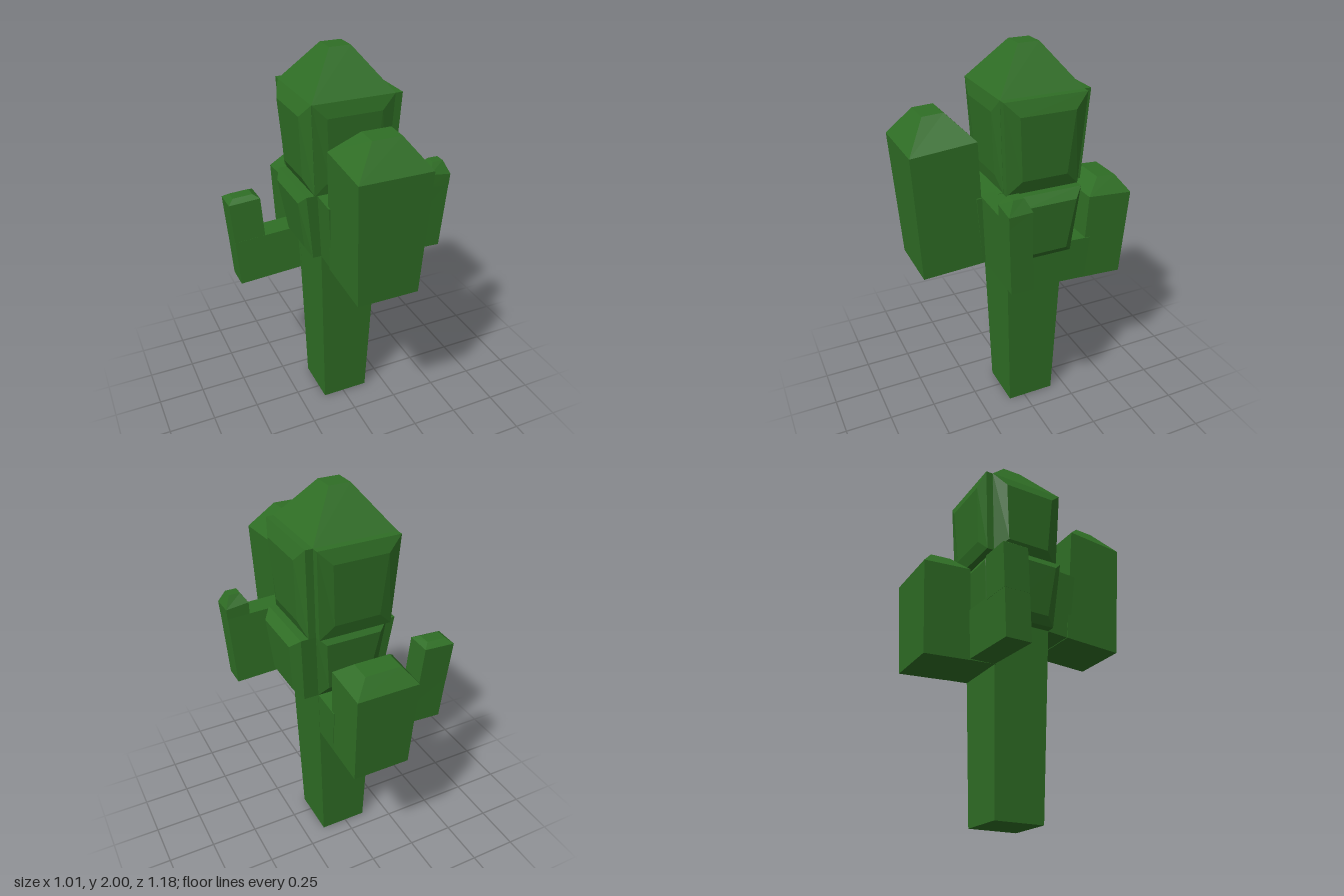
import * as THREE from 'three';

const green = new THREE.MeshStandardMaterial({ color: 0x2f6e25 });
green.name = 'cactus green';

// Horizontal four-cornered ring; dx and dz tilt it along x and z.
function ring(x0, x1, z0, z1, y, dx = 0, dz = 0) {
  return [[x0, y + dz, z1], [x1, y + dx + dz, z1], [x1, y + dx, z0], [x0, y, z0]];
}

// Closed, sharp-edged solid through a stack of four-cornered rings.
function loft(name, rings) {
  const index = [];
  const top = (rings.length - 1) * 4;
  for (let r = 0; r < top; r += 4) {
    for (let i = 0; i < 4; i++) {
      const a = r + i, b = r + (i + 1) % 4;
      index.push(a, b, b + 4, a, b + 4, a + 4);
    }
  }
  index.push(0, 2, 1, 0, 3, 2, top, top + 1, top + 2, top, top + 2, top + 3);
  const indexed = new THREE.BufferGeometry();
  indexed.setAttribute('position', new THREE.Float32BufferAttribute(rings.flat(2), 3));
  indexed.setIndex(index);
  const geometry = indexed.toNonIndexed();
  geometry.computeVertexNormals();
  const mesh = new THREE.Mesh(geometry, green);
  mesh.name = name;
  return mesh;
}

// Each side gives a face's range across, its outward distance, and the way back to x, y, z.
const sides = {
  front: { face: (s) => [s.x0, s.x1, s.z1], place: (u, y, d) => [u, y, d] },
  left: { face: (s) => [-s.z1, -s.z0, s.x1], place: (u, y, d) => [d, y, -u] },
  back: { face: (s) => [-s.x1, -s.x0, -s.z0], place: (u, y, d) => [-u, y, -d] },
  right: { face: (s) => [s.z0, s.z1, -s.x0], place: (u, y, d) => [-d, y, u] },
};

// Raised panel on one side: straight out by "out", then bevelled to "peak".
function panel(side, low, high, out, peak, inset) {
  const { face, place } = sides[side];
  const [a0, a1, da] = face(low), [b0, b1, db] = face(high);
  const layer = (d, n) => [
    place(a0 + n, low.y + n, da + d), place(a1 - n, low.y + n, da + d),
    place(b1 - n, high.y - n, db + d), place(b0 + n, high.y - n, db + d),
  ];
  return loft(side + 'Panel', [layer(-0.01, 0), layer(out, 0), layer(peak, inset)]);
}

const sectionRing = (s) => ring(s.x0, s.x1, s.z0, s.z1, s.y);

function group(name, ...parts) {
  const g = new THREE.Group();
  g.name = name;
  g.add(...parts);
  return g;
}

export function createModel() {
  // Trunk sections, each flaring slightly upward
  const foot = { x0: -0.115, x1: 0.14, z0: -0.17, z1: 0.09, y: 0 };
  const waist = { x0: -0.14, x1: 0.175, z0: -0.195, z1: 0.12, y: 0.98 };
  const chest = { x0: -0.18, x1: 0.2, z0: -0.228, z1: 0.148, y: 1.34 };
  const neck = { x0: -0.2, x1: 0.22, z0: -0.253, z1: 0.17, y: 1.8 };

  const trunk = group('trunk',
    loft('stem', [foot, waist, chest, neck].map(sectionRing)),
    loft('crown', [sectionRing(neck), ring(-0.043, 0.065, -0.097, 0.011, 2)]),
  );

  const middle = group('middlePanels',
    panel('left', waist, chest, 0.077, 0.118, 0.045),
    panel('right', waist, chest, 0.045, 0.072, 0.045),
    panel('back', waist, chest, 0.001, 0.027, 0.045),
  );

  const upper = group('upperPanels',
    panel('left', chest, neck, 0.038, 0.064, 0.07),
    panel('right', chest, neck, 0.002, 0.037, 0.07),
    panel('back', chest, neck, 0.037, 0.056, 0.07),
    panel('front', chest, neck, 0.001, 0.014, 0.07),
  );

  // Large front arm
  const frontArm = group('frontArm',
    loft('frontElbow', [
      ring(-0.14, 0.172, 0.1, 0.25, 0.98, 0, -0.01),
      ring(-0.168, 0.192, 0.12, 0.28, 1.34, 0, -0.01),
    ]),
    loft('frontUpright', [
      ring(-0.145, 0.172, 0.235, 0.555, 0.968, 0, -0.018),
      ring(-0.17, 0.195, 0.27, 0.59, 1.615, 0, -0.028),
      ring(-0.06, 0.085, 0.385, 0.488, 1.735, 0, -0.005),
    ]),
  );

  // Small arm branching to the left from the front elbow
  const leftArm = group('leftArm',
    loft('leftElbow', [
      ring(0.14, 0.478, 0.122, 0.235, 0.975, -0.015),
      ring(0.16, 0.498, 0.14, 0.254, 1.337, -0.012),
    ]),
    loft('leftTip', [
      ring(0.383, 0.498, 0.14, 0.254, 1.32, -0.01),
      ring(0.385, 0.502, 0.14, 0.256, 1.392, -0.015, -0.005),
      ring(0.415, 0.472, 0.17, 0.223, 1.438),
    ]),
  );

  // Back arm
  const backArm = group('backArm',
    loft('backElbow', [
      ring(-0.135, 0.165, -0.34, -0.17, 0.727, 0, 0.008),
      ring(-0.14, 0.174, -0.36, -0.18, 0.972, 0, 0.008),
    ]),
    loft('backUpright', [
      ring(-0.135, 0.165, -0.56, -0.32, 0.713, 0, 0.014),
      ring(-0.15, 0.175, -0.59, -0.343, 1.19, 0, 0.018),
      ring(-0.082, 0.105, -0.53, -0.425, 1.273, 0, 0.006),
    ]),
  );

  // Small arm branching to the right from the back elbow
  const rightArm = group('rightArm',
    loft('rightElbow', [
      ring(-0.48, -0.12, -0.322, -0.19, 0.713, 0.022),
      ring(-0.493, -0.13, -0.338, -0.206, 0.963, 0.02),
    ]),
    loft('rightUpright', [
      ring(-0.493, -0.325, -0.338, -0.206, 0.95, 0.01),
      ring(-0.506, -0.337, -0.354, -0.222, 1.175, 0.01, 0.003),
      ring(-0.475, -0.368, -0.32, -0.254, 1.2, 0.005),
    ]),
  );

  return group('cactus', trunk, middle, upper, frontArm, leftArm, backArm, rightArm);
}
